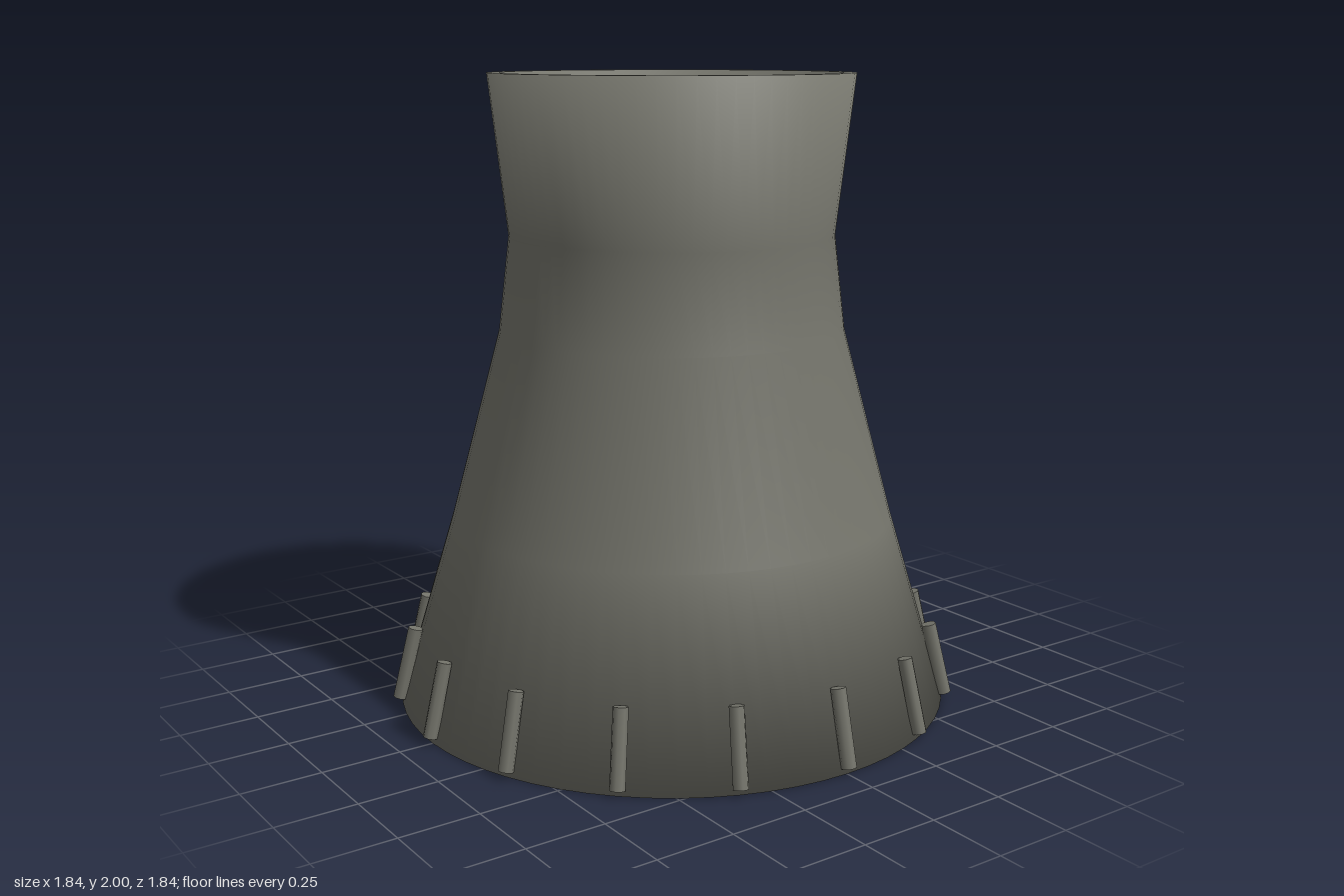
import * as THREE from 'three';

const concrete = new THREE.MeshStandardMaterial({ name: 'warm grey concrete', color: 0x74746b });

// Thin-walled shell: closed profile, up the outside and down the inside
function makeShell() {
  const wall = 0.04;
  const outer = [[0.89, 0], [0.71, 0.6], [0.55, 1.2], [0.515, 1.5], [0.573, 2]];
  const inner = outer.map(([r, y]) => [r - wall, y]).reverse();
  const profile = [inner[inner.length - 1], ...outer, ...inner].map(([r, y]) => new THREE.Vector2(r, y));
  const segments = 64;
  const geometry = new THREE.LatheGeometry(profile, segments);

  // Smooth normals: equal-weight average of the two neighbouring profile segments
  const last = profile.length - 1;
  const edgeNormal = (i) => {
    const d = profile[i + 1].clone().sub(profile[i]).normalize();
    return new THREE.Vector2(d.y, -d.x);
  };
  const normal = geometry.attributes.normal;
  for (let j = 0; j <= last; j++) {
    const n = edgeNormal(j === 0 ? last - 1 : j - 1).add(edgeNormal(j === last ? 0 : j)).normalize();
    for (let i = 0; i <= segments; i++) {
      const a = (i / segments) * Math.PI * 2;
      normal.setXYZ(i * (last + 1) + j, n.x * Math.sin(a), n.y, n.x * Math.cos(a));
    }
  }
  const mesh = new THREE.Mesh(geometry, concrete);
  mesh.name = 'towerShell';
  return mesh;
}

// Ring of short rods leaning along the foot of the shell
function makeSupports() {
  const group = new THREE.Group();
  group.name = 'baseSupports';
  const count = 16;
  const top = new THREE.Vector2(0.842, 0.251);
  const foot = new THREE.Vector2(0.897, 0.021);
  const geometry = new THREE.CylinderGeometry(0.0235, 0.0235, top.distanceTo(foot), 8);
  geometry.rotateX(-Math.atan2(foot.x - top.x, top.y - foot.y));
  geometry.translate(0, (top.y + foot.y) / 2, (top.x + foot.x) / 2);
  for (let i = 0; i < count; i++) {
    const rod = new THREE.Mesh(geometry, concrete);
    rod.name = `support${i + 1}`;
    rod.rotation.y = (i / count) * Math.PI * 2;
    group.add(rod);
  }
  return group;
}

export function createModel() {
  const model = new THREE.Group();
  model.name = 'coolingTower';
  model.add(makeShell(), makeSupports());
  return model;
}
